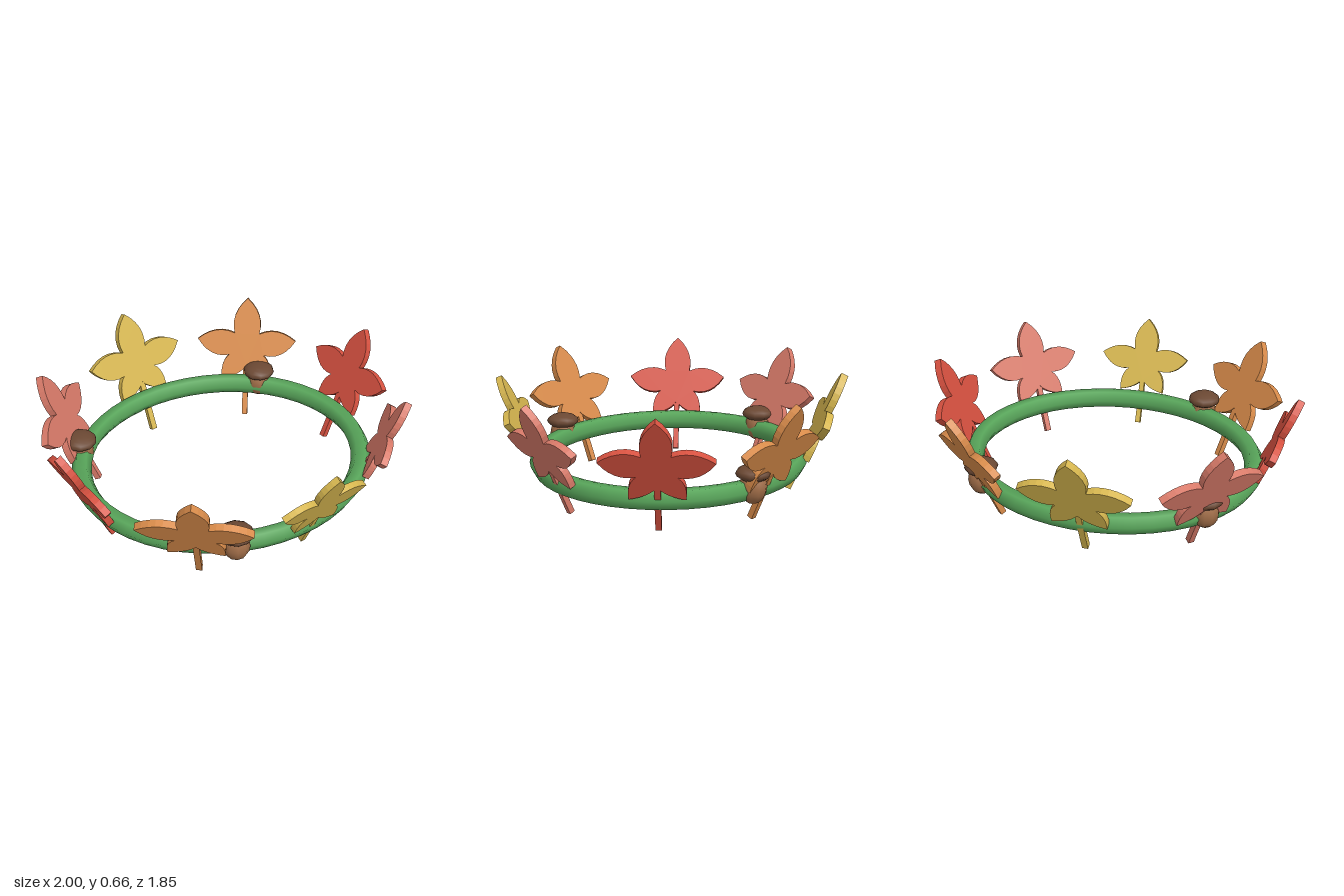
import * as THREE from 'three';

const mat = (name, color) => {
  const m = new THREE.MeshStandardMaterial({ color });
  m.name = name;
  return m;
};

const LEAN = 0.425; // outward tilt of the leaves

// Five-lobed leaf outline around its own centre
function leafShape() {
  const rad = Math.PI / 180;
  // direction in degrees, length, bulge
  const lobes = [[90, 0.295, 0.105], [9, 0.295, 0.105], [-53, 0.24, 0.07],
    [-127, 0.24, 0.07], [-189, 0.295, 0.105]];
  const notches = [132, 50, -24, -90, -156];
  const polar = (deg, r) => new THREE.Vector2(Math.cos(deg * rad) * r, Math.sin(deg * rad) * r);
  const shape = new THREE.Shape();
  const start = polar(notches[0], 0.112);
  shape.moveTo(start.x, start.y);
  lobes.forEach(([deg, len, bulge], i) => {
    const tip = polar(deg, len);
    const mid = polar(deg, len * 0.68);
    const side = polar(deg + 90, bulge);
    const end = polar(notches[(i + 1) % 5], 0.112);
    shape.quadraticCurveTo(mid.x + side.x, mid.y + side.y, tip.x, tip.y);
    shape.quadraticCurveTo(mid.x - side.x, mid.y - side.y, end.x, end.y);
  });
  return shape;
}

export function createModel() {
  const model = new THREE.Group();
  model.name = 'leafCrown';

  const green = mat('vineGreen', 0x58a55a);
  const red = mat('leafRed', 0xd65140);
  const orange = mat('leafOrange', 0xd88b4a);
  const yellow = mat('leafYellow', 0xd6b64f);
  const coral = mat('leafCoral', 0xd87a69);
  const nutBrown = mat('nutBrown', 0xa06d48);
  const capBrown = mat('capBrown', 0x6b4833);

  // Oval band with a six-sided section
  const ringGeo = new THREE.TorusGeometry(0.775, 0.055, 6, 48);
  ringGeo.rotateX(-Math.PI / 2);
  ringGeo.scale(1, 1, 0.9);
  const ring = new THREE.Mesh(ringGeo, green);
  ring.name = 'ring';
  ring.position.y = 0.193;
  model.add(ring);

  // Leaf blade and stem, with the stem's foot at the origin
  const bladeGeo = new THREE.ExtrudeGeometry(leafShape(), { depth: 0.04, bevelEnabled: false, curveSegments: 6 });
  bladeGeo.translate(0, 0.405, -0.02);
  const stemGeo = new THREE.BoxGeometry(0.032, 0.34, 0.032);
  stemGeo.translate(0, 0.17, 0);

  // material, foot x, y, z, heading in degrees, size
  const leaves = [
    [yellow, 0.15, 0.06, 0.65, 9.8, 0.88],
    [coral, 0.607, 0.035, 0.365, 55, 0.935],
    [red, 0.71, 0.025, -0.125, 101.5, 0.97],
    [orange, 0.4, 0.015, -0.53, 151, 0.985],
    [yellow, -0.147, 0.01, -0.63, 189.6, 1],
    [coral, -0.6, 0.005, -0.345, 234, 1.005],
    [red, -0.705, 0.025, 0.14, 281, 0.97],
    [orange, -0.398, 0.005, 0.57, 329, 1.005],
  ];
  for (const [material, x, y, z, heading, size] of leaves) {
    const leaf = new THREE.Group();
    leaf.name = 'leaf';
    const blade = new THREE.Mesh(bladeGeo, material);
    blade.name = 'leafBlade';
    const stem = new THREE.Mesh(stemGeo, material);
    stem.name = 'leafStem';
    leaf.add(blade, stem);
    leaf.position.set(x, y, z);
    leaf.rotation.set(LEAN, heading * Math.PI / 180, 0, 'YXZ');
    leaf.scale.setScalar(size);
    model.add(leaf);
  }

  // Acorns sitting on the band
  const nutGeo = new THREE.SphereGeometry(0.072, 10, 8);
  nutGeo.scale(1, 1.2, 1);
  const capGeo = new THREE.SphereGeometry(0.09, 10, 8);
  capGeo.scale(1, 0.46, 1);
  for (const [x, z] of [[-0.25, 0.695], [-0.685, -0.36], [0.502, -0.555]]) {
    const acorn = new THREE.Group();
    acorn.name = 'acorn';
    const nut = new THREE.Mesh(nutGeo, nutBrown);
    nut.name = 'acornNut';
    nut.position.y = 0.208;
    const cap = new THREE.Mesh(capGeo, capBrown);
    cap.name = 'acornCap';
    cap.position.y = 0.28;
    acorn.add(nut, cap);
    acorn.position.set(x, 0, z);
    model.add(acorn);
  }

  return model;
}
